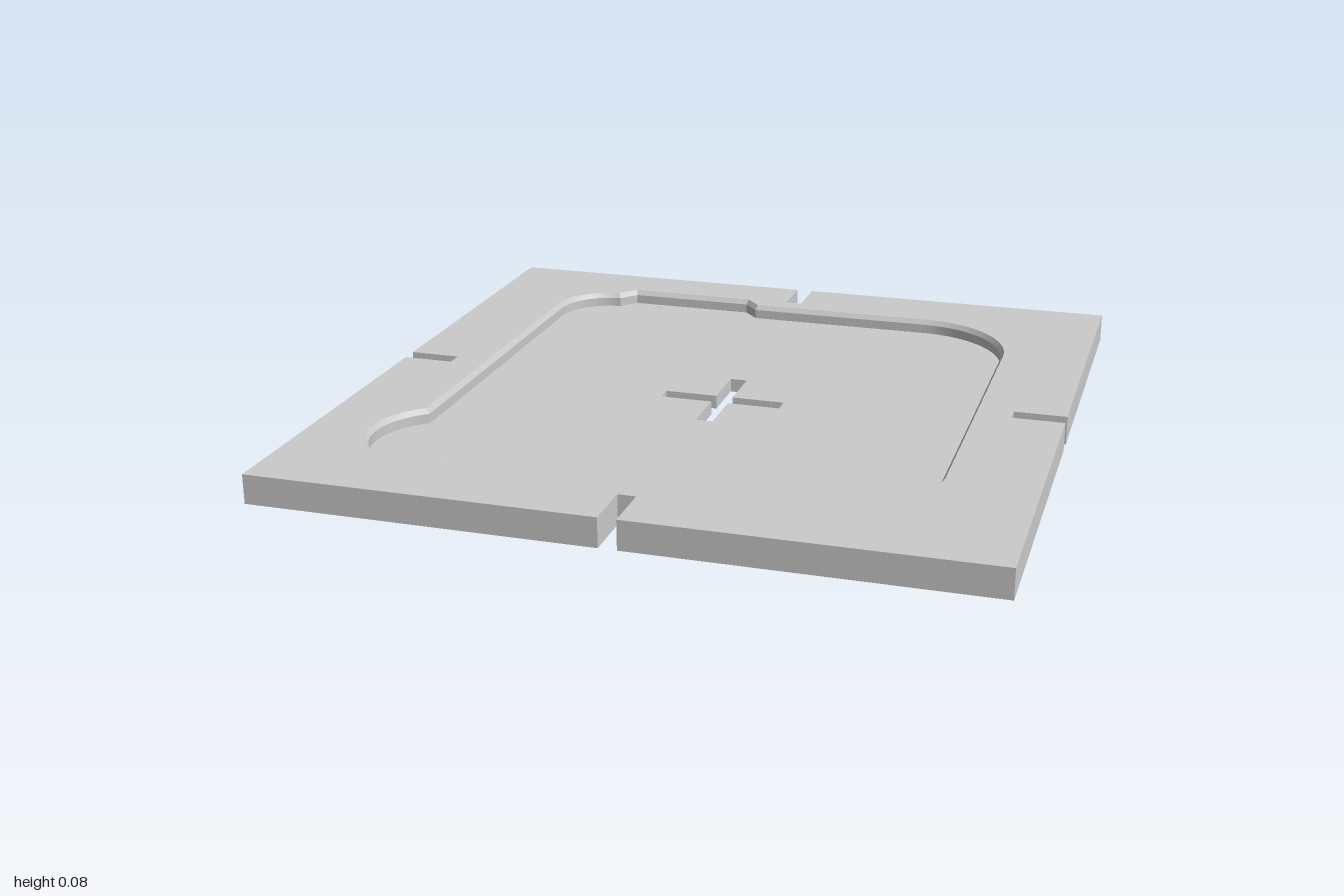
import * as THREE from 'three';
import { mergeVertices, toCreasedNormals } from 'three/addons/utils/BufferGeometryUtils.js';

const HEIGHT = 0.083, FLOOR = 0.04, LIP = 0.068, INSET = 0.01;
const V = (x, y) => new THREE.Vector2(x, y);

// Plan outlines run counter-clockwise in (x, -z).
const rotate = (p, q) => [V(p.x, p.y), V(-p.y, p.x), V(-p.x, -p.y), V(p.y, -p.x)][q];
const fourTimes = (pts) => [0, 1, 2, 3].flatMap((q) => pts.map((p) => rotate(p, q)));

function recessOutline() {
  const s = new THREE.Shape();
  s.absarc(0.45, 0.495, 0.3, 0, Math.PI / 2);
  s.lineTo(-0.11, 0.795);
  s.lineTo(-0.155, 0.845);
  s.lineTo(-0.55, 0.845);
  s.absarc(-0.58, 0.625, 0.17, Math.PI / 2 + 0.09, Math.PI);
  s.absarc(-0.625, -0.585, 0.21, 2.208, 5.154);
  s.absarc(-0.45, -0.495, 0.3, -1.858, -Math.PI / 2);
  s.absarc(0.45, -0.495, 0.3, -Math.PI / 2, 0);
  const pts = s.getPoints(24);
  return pts.filter((p, i) => p.distanceTo(pts[(i + 1) % pts.length]) > 1e-4);
}

// Mitred inward offset of a counter-clockwise outline
function inset(pts, d) {
  const n = pts.length;
  const normal = (a, b) => V(a.y - b.y, b.x - a.x).normalize();
  return pts.map((p, i) => {
    const n0 = normal(pts[(i + n - 1) % n], p), n1 = normal(p, pts[(i + 1) % n]);
    return p.clone().addScaledVector(n0.clone().add(n1), d / (1 + n0.dot(n1)));
  });
}

// Flat horizontal face with one hole
function cap(pts, hole, y, faceUp) {
  const shape = new THREE.Shape(pts);
  if (hole) shape.holes.push(new THREE.Path(hole));
  const g = new THREE.ShapeGeometry(shape).rotateX(-Math.PI / 2).translate(0, y, 0);
  if (!faceUp) {
    const idx = g.index.array;
    for (let i = 0; i < idx.length; i += 3) [idx[i], idx[i + 1]] = [idx[i + 1], idx[i]];
    g.computeVertexNormals();
  }
  return g;
}

// Strip of wall between a lower and an upper outline
function wall(lower, upper, y0, y1, inward) {
  const n = lower.length, pos = [], index = [];
  for (let i = 0; i < n; i++) {
    pos.push(lower[i].x, y0, -lower[i].y, upper[i].x, y1, -upper[i].y);
    const a = 2 * i, b = 2 * ((i + 1) % n);
    if (inward) index.push(b, a, a + 1, b, a + 1, b + 1);
    else index.push(a, b, b + 1, a, b + 1, a + 1);
  }
  const g = new THREE.BufferGeometry();
  g.setAttribute('position', new THREE.Float32BufferAttribute(pos, 3));
  g.setIndex(index);
  return toCreasedNormals(mergeVertices(g), 0.4);
}

export function createModel() {
  const group = new THREE.Group();
  const material = new THREE.MeshStandardMaterial({ color: 0xcccccc });
  const add = (name, geometry) => {
    const mesh = new THREE.Mesh(geometry, material);
    mesh.name = name;
    group.add(mesh);
  };

  // Square with a slot in the middle of each side
  const plate = fourTimes([V(1, -1), V(1, -0.025), V(0.85, -0.025), V(0.85, 0.025), V(1, 0.025)]);
  // Cross-shaped opening through the centre
  const cross = fourTimes([V(0.18, -0.025), V(0.18, 0.025), V(0.025, 0.025)]);
  const rim = recessOutline();
  const well = inset(rim, INSET);

  add('underside', cap(plate, cross, 0, false));
  add('outerWall', wall(plate, plate, 0, HEIGHT, false));
  add('topFrame', cap(plate, rim, HEIGHT, true));
  add('recessChamfer', wall(well, rim, LIP, HEIGHT, true));
  add('recessWall', wall(well, well, FLOOR, LIP, true));
  add('recessFloor', cap(well, cross, FLOOR, true));
  add('crossWall', wall(cross, cross, 0, FLOOR, true));
  return group;
}
